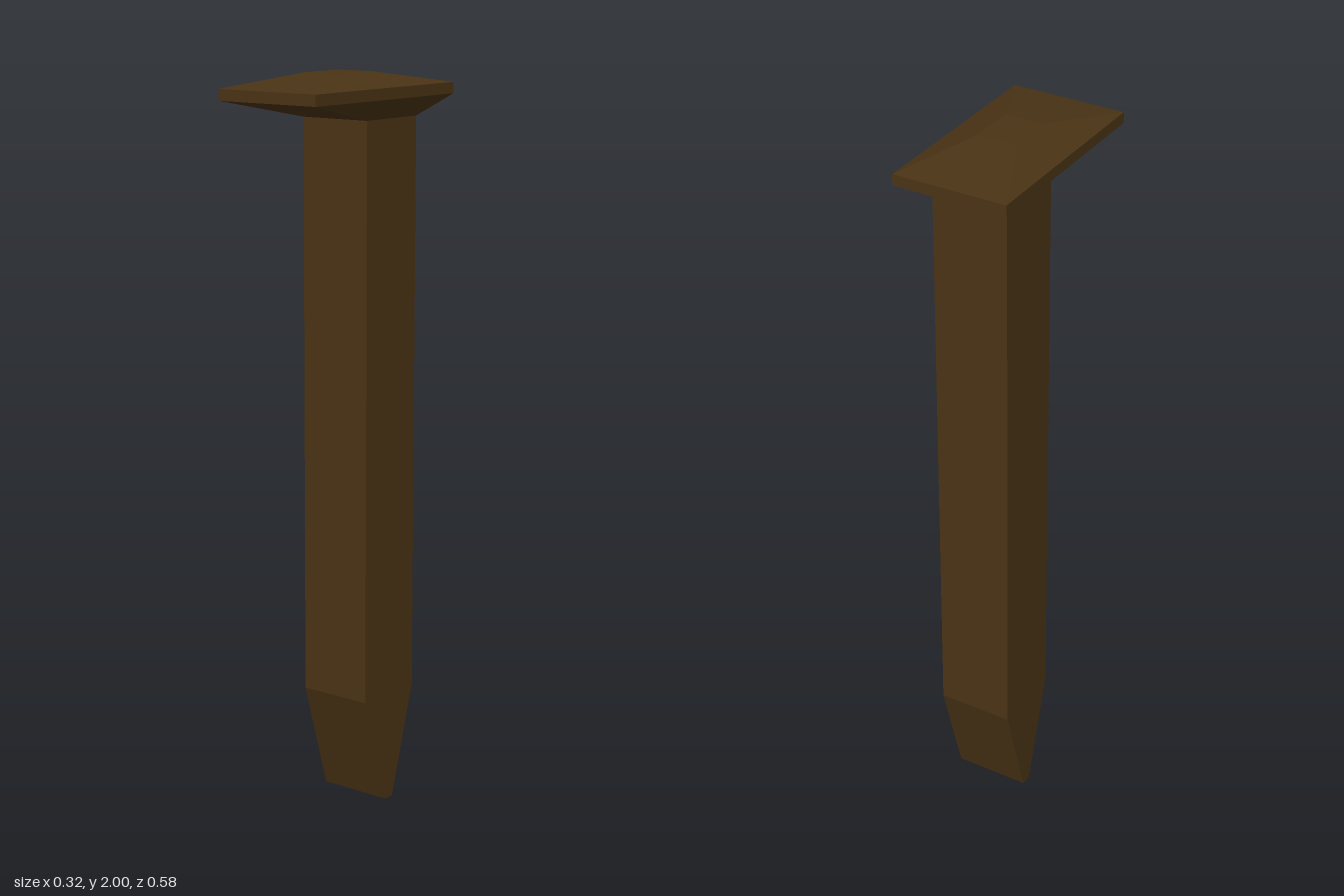
import * as THREE from 'three';

// Flat-shaded solid through rectangular sections [y, halfWidth, zBack, zFront], bottom to top
function loftRects(sections, capBottom, capTop) {
  const rings = sections.map(([y, w, zb, zf]) => [[-w, y, zf], [w, y, zf], [w, y, zb], [-w, y, zb]]);
  const positions = [];
  const quad = (a, b, c, d) => positions.push(...a, ...b, ...c, ...a, ...c, ...d);
  for (let r = 0; r < rings.length - 1; r++) {
    const lo = rings[r], hi = rings[r + 1];
    for (let i = 0; i < 4; i++) {
      const j = (i + 1) % 4;
      quad(lo[i], lo[j], hi[j], hi[i]);
    }
  }
  if (capBottom) quad(...[...rings[0]].reverse());
  if (capTop) quad(...rings[rings.length - 1]);
  const geometry = new THREE.BufferGeometry();
  geometry.setAttribute('position', new THREE.Float32BufferAttribute(positions, 3));
  geometry.computeVertexNormals();
  return geometry;
}

export function createModel() {
  const group = new THREE.Group();
  group.name = 'spike';
  const material = new THREE.MeshStandardMaterial({ color: 0x4a3315, flatShading: true });
  const add = (name, geometry) => {
    const mesh = new THREE.Mesh(geometry, material);
    mesh.name = name;
    group.add(mesh);
  };

  // Square shaft, set back from the centre, narrowing to a chisel tip
  add('shaft', loftRects([
    [0, 0.105, -0.108, -0.076],
    [0.305, 0.105, -0.197, 0.015],
    [1.88, 0.105, -0.197, 0.015],
  ], true, false));

  // Head with a flared underside, thin rim and bevelled top
  add('head', loftRects([
    [1.88, 0.105, -0.197, 0.015],
    [1.935, 0.158, -0.29, 0.29],
    [1.965, 0.158, -0.29, 0.29],
    [2, 0.055, -0.068, 0.068],
  ], false, true));

  return group;
}
